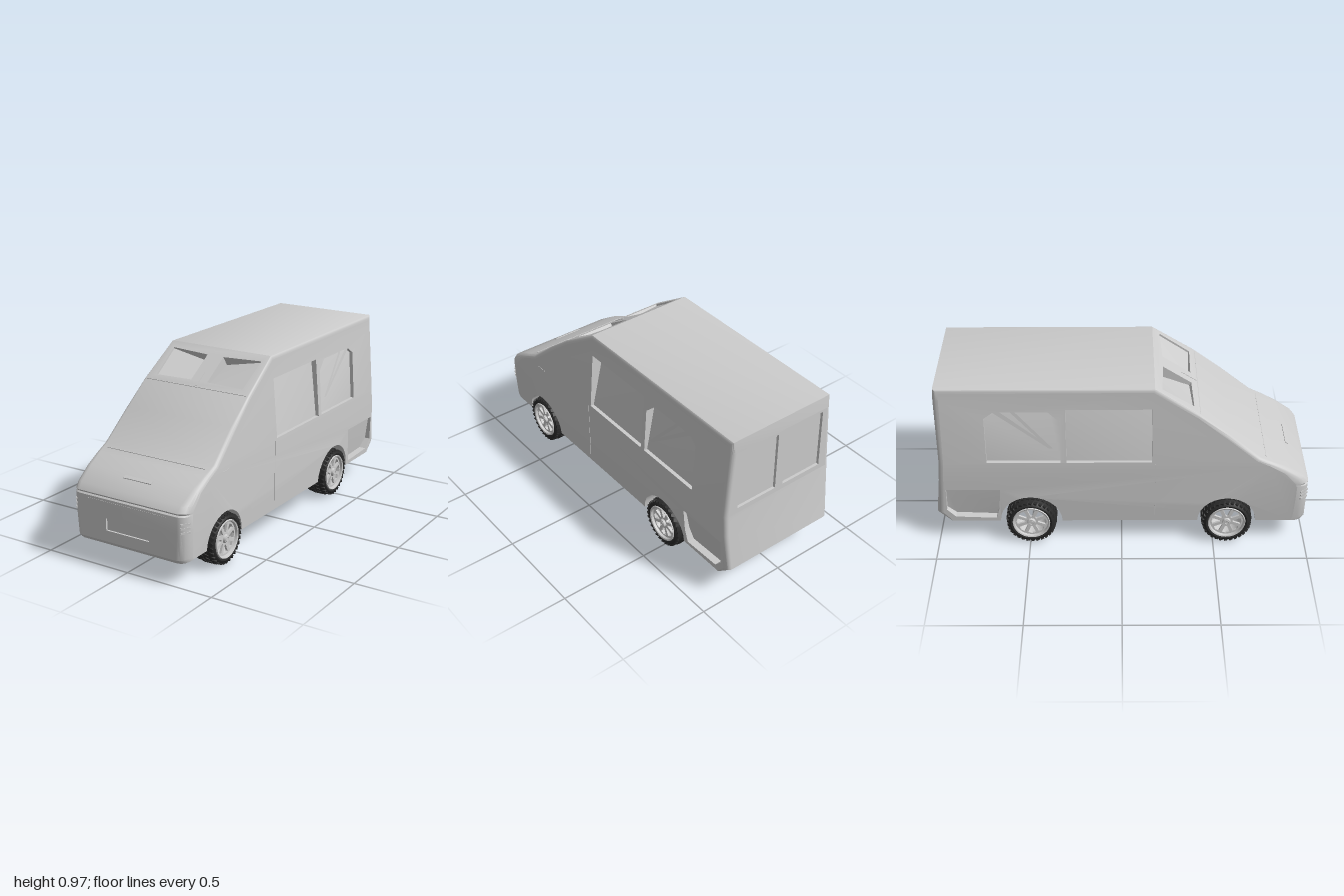
import * as THREE from 'three';
import { mergeGeometries, toCreasedNormals } from 'three/addons/utils/BufferGeometryUtils.js';

const bodyMat = new THREE.MeshStandardMaterial({ color: 0xcccccc, side: THREE.DoubleSide });
const tyreMat = new THREE.MeshStandardMaterial({ color: 0x2a2a2a });
const lerp = THREE.MathUtils.lerp;

// Outer profile z, y; matching side edge z, y; corner inset in x. Runs up the nose, over the roof, down the tail.
const profile = [
  [0.985, 0.12, 0.92, 0.13, 0.05], [1, 0.14, 0.93, 0.15, 0.05], [1, 0.285, 0.935, 0.285, 0.05],
  [1, 0.366, 0.937, 0.366, 0.05], [0.992, 0.373, 0.928, 0.373, 0.05], [1, 0.383, 0.932, 0.38, 0.05],
  [0.975, 0.415, 0.91, 0.405, 0.045], [0.88, 0.477, 0.865, 0.455, 0.035], [0.8, 0.517, 0.79, 0.5, 0.025],
  [0.73, 0.55, 0.715, 0.535, 0.02], [0.56, 0.695, 0.55, 0.675, 0.02], [0.405, 0.815, 0.395, 0.8, 0.012],
  [0.17, 0.97, 0.163, 0.95, 0.01], [-0.96, 0.97, -0.932, 0.945, 0.015], [-0.966, 0.9, -0.934, 0.9, 0.025],
  [-0.966, 0.52, -0.938, 0.52, 0.025], [-0.968, 0.5, -0.94, 0.5, 0.025], [-0.975, 0.4, -0.948, 0.4, 0.025],
  [-1, 0.19, -0.965, 0.19, 0.025], [-0.93, 0.13, -0.92, 0.13, 0.025],
];
const widths = [[0.13, 0.338], [0.3, 0.348], [0.53, 0.346], [0.8, 0.328], [0.84, 0.321], [0.97, 0.315]];
const wheelZ = { 1: [0.65, -0.48], [-1]: [0.57, -0.49] };
const FLOOR = 0.13, WELL = 0.2, archRadius = [0.158, 0.168];

// Half width of the body at a height
function halfWidth(y) {
  let i = 0;
  while (i < widths.length - 2 && y > widths[i + 1][0]) i++;
  const [a, b] = [widths[i], widths[i + 1]];
  return lerp(a[1], b[1], (y - a[0]) / (b[0] - a[0]));
}

const quad = (out, a, b, c, d) => out.push(...a, ...b, ...c, ...a, ...c, ...d);

// Fills an outline, less its holes; place(u, v, depth) gives the point in space
function addShape(out, outline, holes, place) {
  const toV = (pts) => pts.map(([u, v]) => new THREE.Vector2(u, v));
  const points = [outline, ...holes].flat();
  for (const face of THREE.ShapeUtils.triangulateShape(toV(outline), holes.map(toV))) {
    for (const i of face) out.push(...place(...points[i]));
  }
}

// Panel with recessed panes; every opening corner is [u, v, depth of the pane there]
function addPanel(out, outline, holes, place) {
  addShape(out, outline, holes, (u, v) => place(u, v, 0));
  holes.forEach((h) => {
    addShape(out, h, [], place);
    h.forEach((a, i) => {
      const b = h[(i + 1) % h.length];
      quad(out, place(a[0], a[1], 0), place(b[0], b[1], 0), place(...b), place(...a));
    });
  });
}

function meshFrom(name, positions, crease = 0.6) {
  const g = new THREE.BufferGeometry();
  g.setAttribute('position', new THREE.Float32BufferAttribute(positions, 3));
  const m = new THREE.Mesh(toCreasedNormals(g, crease), bodyMat);
  m.name = name;
  return m;
}

// Wheel arch outlines of one side, front then rear
const arches = (s) => wheelZ[s].map((zc, w) => Array.from({ length: 15 }, (_, i) => {
  const a = Math.PI * (1 - i / 14);
  return [zc + archRadius[w] * Math.cos(a), FLOOR + archRadius[w] * Math.sin(a)];
}));

// Shell over nose, windscreen, roof and tail, with rounded edges
function shell() {
  const out = [];
  const mirrored = (pts) => [pts, pts.map(([x, y, d]) => [-x, y, d])];
  const openings = {
    1: [[[-0.133, 0.2, 0.01], [0.132, 0.2, 0.01], [0.132, 0.265, 0.01], [-0.133, 0.265, 0.01]]],
    11: mirrored([[0.05, 0.838, 0.02], [0.268, 0.835, 0.01], [0.275, 0.945, 0.01], [0.05, 0.938, 0.06]]),
    14: mirrored([[0.025, 0.55, 0.015], [0.27, 0.55, 0.015], [0.265, 0.885, 0.015], [0.025, 0.885, 0.015]]),
  };
  const edge = ([zo, yo, zi, yi, inset], k, s) => {
    const a = (k / 4) * Math.PI / 2;
    return [s * (halfWidth(yi) - inset * (1 - Math.cos(a))), lerp(yi, yo, Math.sin(a)), lerp(zi, zo, Math.sin(a))];
  };
  for (let i = 0; i < profile.length - 1; i++) {
    const p = profile[i], q = profile[i + 1];
    for (const s of [1, -1]) {
      for (let k = 0; k < 4; k++) quad(out, ...(s > 0
        ? [edge(p, k, s), edge(q, k, s), edge(q, k + 1, s), edge(p, k + 1, s)]
        : [edge(p, k + 1, s), edge(q, k + 1, s), edge(q, k, s), edge(p, k, s)]));
    }
    const [pr, pl, qr, ql] = [edge(p, 4, 1), edge(p, 4, -1), edge(q, 4, 1), edge(q, 4, -1)];
    if (!openings[i]) { quad(out, pr, qr, ql, pl); continue; }
    const dz = q[0] - p[0], dy = q[1] - p[1], len = Math.hypot(dz, dy);
    const place = (x, y, d) => [x, y + d * dz / len, p[0] + dz * (y - p[1]) / dy - d * dy / len];
    addPanel(out, [pl, pr, qr, ql], openings[i], place);
  }
  return meshFrom('bodyShell', out, 0.5);
}

// Side wall with windows, wheel arches and a sunken rear quarter
function sideWall(s) {
  const out = [];
  const place = (z, y, d = 0) => [s * (halfWidth(y) - d), y, z];
  const inner = profile.map((p) => [p[2], p[3]]);
  const windows = [
    [[0.16, 0.53, 0.02], [0.16, 0.85, 0.07], [-0.29, 0.85, 0.03], [-0.29, 0.53, 0.02]],
    [[-0.32, 0.53, 0.02], [-0.32, 0.78, 0.05], [-0.38, 0.835, 0.06], [-0.66, 0.835, 0.03], [-0.71, 0.8, 0.02], [-0.71, 0.53, 0.02]],
  ];
  addPanel(out, inner.filter((p) => p[1] >= 0.5), windows, place);
  // Slanting slats across the rear window
  for (const [top, w] of [[-0.56, 0.012], [-0.645, 0.02]]) {
    addShape(out, [[-0.36, 0.62], [top + w, 0.835], [top - w, 0.835], [-0.38, 0.62]], [], place);
  }
  const [front, rear] = arches(s);
  const quarter = [[-0.66, 0.22, 0.03], [-0.65, 0.35, 0.015], [-0.94, 0.35, 0.015], [-0.945, 0.21, 0.03],
    [-0.9, 0.16, 0.04], [-0.68, 0.15, 0.04]];
  addPanel(out, [...inner.filter((p) => p[1] <= 0.5), ...rear, ...front], [quarter], place);
  return meshFrom(s > 0 ? 'leftSide' : 'rightSide', out);
}

// Curved liners inside the arches
function wheelWells() {
  const out = [];
  for (const s of [1, -1]) for (const arc of arches(s)) {
    for (let i = 0; i < arc.length - 1; i++) {
      const [[z0, y0], [z1, y1]] = [arc[i], arc[i + 1]];
      quad(out, [s * halfWidth(y0), y0, z0], [s * halfWidth(y1), y1, z1], [s * WELL, y1, z1], [s * WELL, y0, z0]);
    }
    addShape(out, arc, [], (z, y) => [s * WELL, y, z]);
  }
  return meshFrom('wheelWells', out);
}

// Flat underside, notched around the wheels
function floorPan() {
  const out = [], w = halfWidth(FLOOR);
  const sidePoints = (s) => [
    [w - 0.05, 0.985], [w, 0.92],
    ...wheelZ[s].flatMap((z, i) => {
      const r = archRadius[i];
      return [[w, z + r], [WELL, z + r], [WELL, z - r], [w, z - r]];
    }),
    [w, -0.92], [w - 0.025, -0.93],
  ].map(([x, z]) => [s * x, z]);
  addShape(out, [...sidePoints(1), ...sidePoints(-1).reverse()], [], (x, z) => [x, FLOOR, z]);
  return meshFrom('floor', out);
}

// Wheel with its axle along z and its outer face at +z
function wheel() {
  const g = new THREE.Group();
  const add = (name, geo, mat) => {
    const m = new THREE.Mesh(geo, mat);
    m.name = name;
    g.add(m);
  };
  const lathe = (pts) => new THREE.LatheGeometry(pts.map(([r, y]) => new THREE.Vector2(r, y)), 40).rotateX(Math.PI / 2);
  add('tyre', toCreasedNormals(lathe([[0.098, -0.058], [0.112, -0.064], [0.126, -0.056], [0.133, -0.04],
    [0.134, 0], [0.133, 0.04], [0.126, 0.056], [0.112, 0.064], [0.098, 0.058]]), 0.7), tyreMat);
  const blocks = [];
  [-0.048, -0.017, 0.017, 0.048].forEach((z, row) => {
    for (let i = 0; i < 30; i++) {
      const outer = row % 3 === 0;
      const b = new THREE.BoxGeometry(0.01, 0.018, 0.024);
      b.rotateX(row < 2 ? 0.35 : -0.35).translate(outer ? 0.127 : 0.132, 0, z);
      blocks.push(b.rotateZ((i + (row % 2) / 2) * Math.PI / 15));
    }
  });
  add('tread', mergeGeometries(blocks), tyreMat);
  add('rim', toCreasedNormals(lathe([[0.088, -0.058], [0.102, -0.062], [0.102, 0.06], [0.099, 0.066],
    [0.092, 0.063], [0.088, 0.045], [0.088, -0.058]]), 0.5), bodyMat);
  // Spoked face
  const face = new THREE.Shape().absarc(0, 0, 0.09, 0, Math.PI * 2);
  for (let i = 0; i < 8; i++) {
    const a = (i * Math.PI) / 4, h = new THREE.Path();
    [[0.034, -0.14], [0.078, -0.27], [0.082, 0], [0.078, 0.27], [0.034, 0.14]].forEach(([r, t], k) =>
      h[k ? 'lineTo' : 'moveTo'](r * Math.cos(a + t), r * Math.sin(a + t)));
    h.closePath();
    face.holes.push(h);
  }
  add('spokes', new THREE.ExtrudeGeometry(face, { depth: 0.012, bevelEnabled: false, curveSegments: 20 }).translate(0, 0, 0.038), bodyMat);
  add('hub', new THREE.CylinderGeometry(0.02, 0.026, 0.024, 20).rotateX(Math.PI / 2).translate(0, 0, 0.05), bodyMat);
  add('hubRing', new THREE.TorusGeometry(0.012, 0.003, 6, 20).translate(0, 0, 0.062), bodyMat);
  return g;
}

export function createModel() {
  const model = new THREE.Group();
  model.name = 'van';
  const body = new THREE.Group();
  body.name = 'body';
  body.position.x = 0.008;
  body.add(shell(), sideWall(1), sideWall(-1), wheelWells(), floorPan());

  const trim = (name, size, pos, rot = [0, 0, 0]) => {
    const m = new THREE.Mesh(new THREE.BoxGeometry(...size), bodyMat);
    m.name = name;
    m.position.set(...pos);
    m.rotation.set(...rot);
    body.add(m);
  };
  // Bonnet vent, bumper line, windscreen seams, window divider, corner lamps and door seams
  trim('bonnetVent', [0.17, 0.01, 0.02], [0, 0.462, 0.902], [0.5, 0, 0]);
  trim('bumperLine', [0.48, 0.003, 0.003], [0, 0.352, 1]);
  trim('windscreenBase', [0.6, 0.003, 0.003], [0, 0.535, 0.763]);
  trim('windscreenTop', [0.62, 0.003, 0.003], [0, 0.814, 0.406]);
  trim('windowDivider', [0.004, 0.095, 0.004], [0, 0.845, 0.36], [-0.99, 0, 0]);
  for (const s of [1, -1]) {
    for (const y of [0.285, 0.308, 0.33]) {
      trim('cornerLamp', [0.05, 0.01, 0.008], [s * 0.331, y, 0.978], [0, s * 0.92, 0]);
    }
    trim('bonnetHinge', [0.01, 0.008, 0.06], [s * 0.343, 0.5, 0.65]);
    trim('doorSeam', [0.003, 0.34, 0.003], [s * 0.347, 0.35, 0.18]);
  }

  for (const s of [1, -1]) wheelZ[s].forEach((z, i) => {
    const w = wheel();
    w.name = (i ? 'rear' : 'front') + (s > 0 ? 'Left' : 'Right') + 'Wheel';
    w.position.set(s * 0.3, 0.139, z);
    w.rotation.y = (s * Math.PI) / 2;
    model.add(w);
  });
  model.add(body);
  return model;
}
